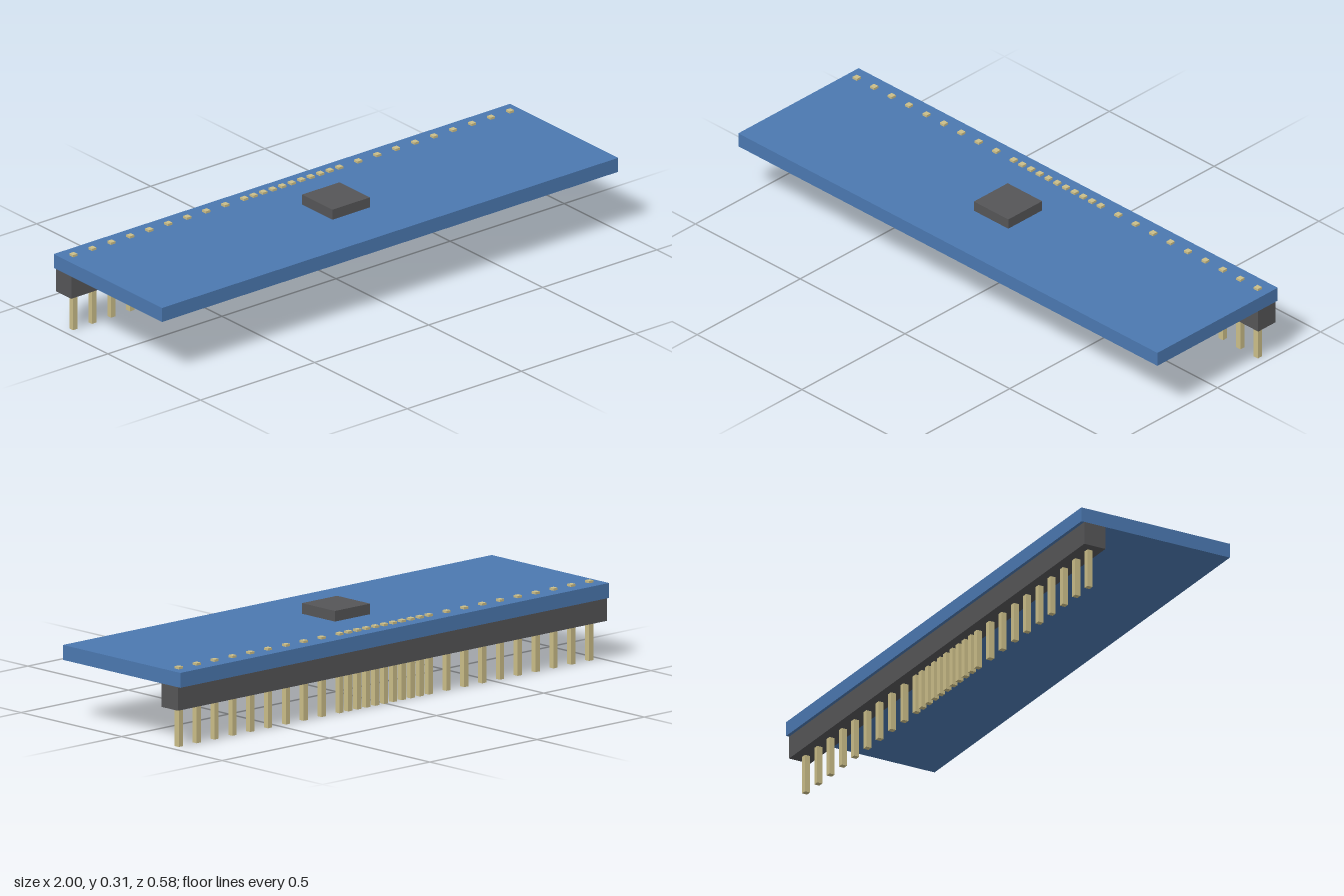
import * as THREE from 'three';

export function createModel() {
  const model = new THREE.Group();
  model.name = 'pinHeaderBoard';

  const material = (name, color) => {
    const m = new THREE.MeshStandardMaterial({ color });
    m.name = name;
    return m;
  };
  const blue = material('board blue', 0x4b78b0);
  const dark = material('dark plastic', 0x555557);
  const brass = material('pale brass', 0xcabd88);

  // Box given by its size, bottom height and centre in x and z
  const box = (name, mat, [w, h, d], [x, bottom, z], parent = model) => {
    const mesh = new THREE.Mesh(new THREE.BoxGeometry(w, h, d), mat);
    mesh.name = name;
    mesh.position.set(x, bottom + h / 2, z);
    parent.add(mesh);
  };

  box('circuitBoard', blue, [2, 0.052, 0.584], [0, 0.219, 0]);
  box('chip', dark, [0.164, 0.037, 0.164], [0, 0.271, 0]);
  box('headerStrip', dark, [2, 0.082, 0.083], [0, 0.137, -0.239]);

  // Pins: close together in the middle, twice as far apart towards the ends
  const pins = new THREE.Group();
  pins.name = 'pins';
  model.add(pins);
  const pitch = 0.0416;
  for (let k = -23; k <= 23; k++) {
    if (Math.abs(k) > 5 && k % 2 === 0) continue;
    box('pin', brass, [0.02, 0.279, 0.02], [k * pitch, 0, -0.239], pins);
  }
  return model;
}
